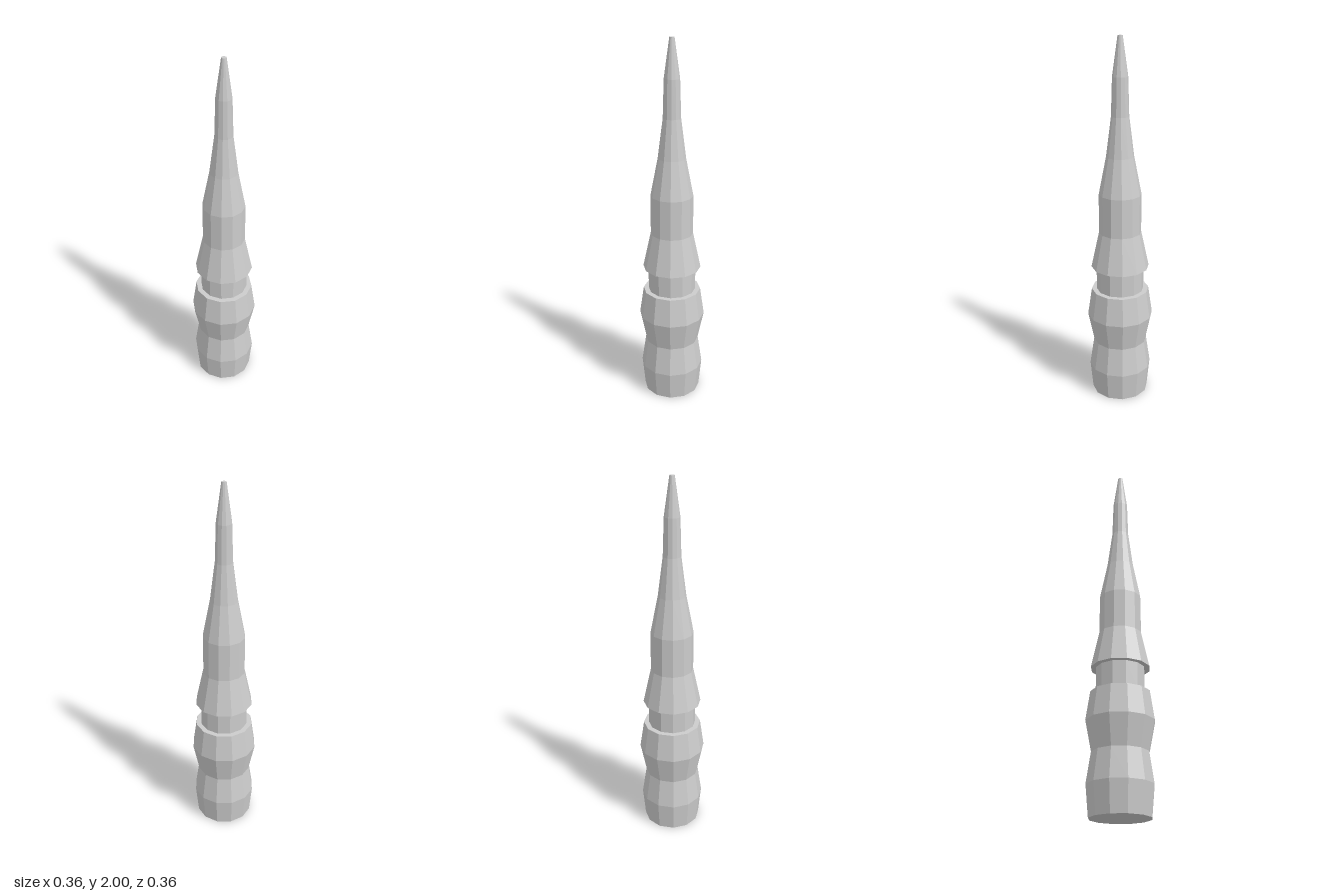
import * as THREE from 'three';

const SIDES = 12;

// Turned, faceted solid from [radius, height] pairs, closed at both ends
function turned(name, profile, material) {
  const first = profile[0], last = profile[profile.length - 1];
  const points = [[0, first[1]], ...profile, [0, last[1]]]
    .map(([r, y]) => new THREE.Vector2(r, y));
  const mesh = new THREE.Mesh(new THREE.LatheGeometry(points, SIDES), material);
  mesh.name = name;
  return mesh;
}

export function createModel() {
  const model = new THREE.Group();
  model.name = 'taperedSpike';
  const grey = new THREE.MeshStandardMaterial({ color: 0xcccccc, flatShading: true });

  // Waisted grip, narrow neck and flared, tapering point
  model.add(
    turned('grip', [[0.158, 0], [0.173, 0.16], [0.149, 0.32], [0.181, 0.48], [0.158, 0.635]], grey),
    turned('neck', [[0.13, 0.635], [0.13, 0.77]], grey),
    turned('point', [
      [0.158, 0.77], [0.115, 0.97], [0.114, 1.185], [0.074, 1.39],
      [0.047, 1.6], [0.041, 1.8], [0.013, 2],
    ], grey),
  );
  return model;
}
